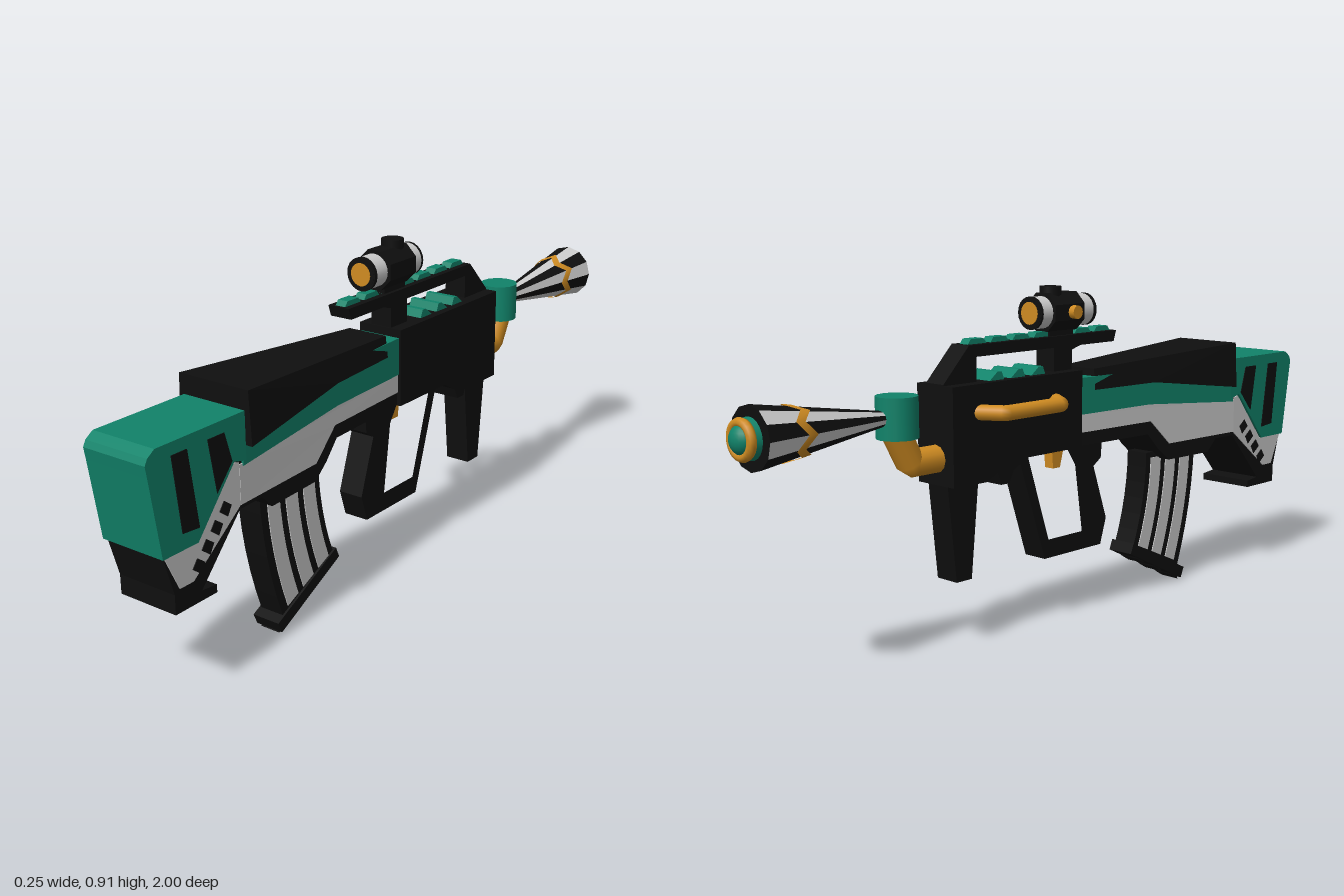
import * as THREE from 'three';

const CX = 0.013; // centre plane of the body
const mat = (name, color) => {
  const m = new THREE.MeshStandardMaterial({ color });
  m.name = name;
  return m;
};

export function createModel() {
  const black = mat('black', 0x0f0f0f);
  const teal = mat('teal', 0x11836a);
  const white = mat('white', 0xcccccc);
  const orange = mat('orange', 0xd08c22);
  const model = new THREE.Group();

  const add = (name, geo, material, x = CX, y = 0, z = 0) => {
    const m = new THREE.Mesh(geo, material);
    m.name = name;
    m.position.set(x, y, z);
    model.add(m);
    return m;
  };
  // side outline of [z, y] points, extruded across x; half width may vary with z and y
  const slab = (name, pts, half, material, hole) => {
    const shape = new THREE.Shape(pts.map(p => new THREE.Vector2(p[0], p[1])));
    if (hole) shape.holes.push(new THREE.Path(hole.map(p => new THREE.Vector2(p[0], p[1]))));
    const g = new THREE.ExtrudeGeometry(shape, { depth: 2, bevelEnabled: false, curveSegments: 1 });
    g.translate(0, 0, -1).rotateY(-Math.PI / 2);
    const p = g.attributes.position;
    for (let i = 0; i < p.count; i++) {
      const h = typeof half === 'number' ? half : half(p.getZ(i), p.getY(i));
      p.setX(i, Math.sign(p.getX(i)) * h);
    }
    g.computeVertexNormals();
    return add(name, g, material);
  };
  const plates = (name, pts, half, material) => {
    for (const s of [-1, 1]) {
      const m = slab(name, pts, 0.002, material);
      m.position.x = CX + s * half;
    }
  };
  // cylinder along z (first radius at the -z end)
  const barrel = (name, rFar, rNear, z0, z1, y, sides, material, turn = 0) => {
    const g = new THREE.CylinderGeometry(rFar, rNear, z0 - z1, sides).rotateY(turn).rotateX(-Math.PI / 2);
    const flat = sides <= 8 ? g.toNonIndexed() : g;
    if (sides <= 8) flat.computeVertexNormals();
    return add(name, flat, material, CX, y, (z0 + z1) / 2);
  };
  const body = (z, extra = 0) => 0.06 + 0.0325 * THREE.MathUtils.clamp((z - 0.05) / 0.65, 0, 1) + extra;

  // stock
  slab('stock', [[0.995, 0.6], [1, 0.63], [0.992, 0.645], [0.97, 0.66], [0.69, 0.66], [0.69, 0.54],
    [0.73, 0.55], [0.855, 0.4], [0.965, 0.4]], 0.0925, teal);
  slab('stockStrip', [[0.7, 0.66], [0.05, 0.66], [0.05, 0.56], [0.33, 0.56], [0.7, 0.53]], z => body(z), teal);
  plates('stockSlot', [[0.925, 0.63], [0.877, 0.63], [0.85, 0.435], [0.903, 0.44]], 0.0925, black);
  plates('stockSlot', [[0.813, 0.63], [0.76, 0.63], [0.738, 0.555], [0.79, 0.495]], 0.0925, black);
  slab('cover', [[0.69, 0.71], [0.11, 0.68], [0.11, 0.623], [0.34, 0.623], [0.69, 0.577]],
    (z, y) => 0.065 + 0.047 * (z - 0.11) / 0.58 - (y > 0.65 ? 0.007 : 0), black);

  // lower body, butt and white side bands
  slab('lowerBody', [[0.05, 0.58], [0.05, 0.473], [0.33, 0.473], [0.375, 0.425], [0.422, 0.388], [0.594, 0.388],
    [0.63, 0.425], [0.71, 0.425], [0.71, 0.56], [0.35, 0.58]], z => body(z, -0.006), black);
  slab('butt', [[0.71, 0.55], [0.71, 0.425], [0.845, 0.275], [0.797, 0.27], [0.797, 0.25], [0.93, 0.25],
    [0.93, 0.3], [0.96, 0.405], [0.86, 0.41]], 0.0855, black);
  slab('sideBand', [[0.05, 0.56], [0.05, 0.51], [0.34, 0.51], [0.42, 0.436], [0.71, 0.436],
    [0.71, 0.535], [0.325, 0.56]], z => body(z, -0.003), white);
  slab('buttBand', [[0.71, 0.54], [0.71, 0.436], [0.872, 0.31], [0.915, 0.31], [0.957, 0.4], [0.85, 0.4],
    [0.73, 0.545]], 0.0885, white);
  for (let i = 0; i < 4; i++) {
    const z = 0.762 + i * 0.031, y = 0.443 - i * 0.035;
    plates('buttStud', [[z - 0.02, y + 0.006], [z + 0.004, y + 0.024], [z + 0.02, y + 0.002], [z - 0.006, y - 0.018]],
      0.0885, black);
  }

  // curved magazine, u runs rear to front and t runs downward
  const bend = (a, b, c, t) => (1 - t) ** 2 * a + 2 * t * (1 - t) * b + t * t * c;
  const mag = (u, t) => [
    THREE.MathUtils.lerp(bend(0.588, 0.582, 0.515, t), bend(0.364, 0.364, 0.31, t), u),
    THREE.MathUtils.lerp(bend(0.41, 0.23, 0.045, t), bend(0.41, 0.28, 0.14, t), u)];
  const magStrip = (u0, u1, t0, t1) => {
    const a = [], b = [];
    for (let i = 0; i <= 6; i++) {
      const t = t0 + (t1 - t0) * i / 6;
      a.push(mag(u0, t));
      b.unshift(mag(u1, t));
    }
    return a.concat(b);
  };
  slab('magazine', magStrip(0, 1, 0, 1), 0.035, black);
  for (let i = 0; i < 3; i++) {
    const u = 0.11 + i * 0.3;
    plates('magazineStripe', magStrip(u, u + 0.2, 0.06, 0.97), 0.0355, white);
  }
  slab('magazineBase', [[0.54, 0.036], [0.305, 0.152], [0.293, 0.123], [0.527, 0.006]], 0.041, black);
  for (const z of [0.5, 0.42, 0.34]) {
    const y = 0.006 + (0.527 - z) * 0.5;
    slab('magazineNub', [[z + 0.018, y], [z - 0.014, y + 0.016], [z - 0.007, y], [z + 0.025, y - 0.019]], 0.03, black);
  }

  // receiver with its carrying rail
  slab('receiver', [[0.055, 0.682], [-0.412, 0.682], [-0.412, 0.43], [-0.3, 0.43], [-0.262, 0.446], [-0.25, 0.415],
    [-0.22, 0.415], [-0.205, 0.446], [-0.155, 0.473], [0.055, 0.473]], 0.066, black);
  slab('rail', [[0.23, 0.775], [-0.325, 0.775], [-0.412, 0.685], [-0.412, 0.66], [-0.3, 0.66], [-0.3, 0.745],
    [-0.02, 0.745], [-0.02, 0.67], [0.05, 0.67], [0.05, 0.735], [0.085, 0.745], [0.22, 0.745]], 0.032, black);
  const tooth = (z, y) => slab('railTooth', [[z + 0.033, y], [z + 0.022, y + 0.014], [z - 0.022, y + 0.014],
    [z - 0.033, y]], 0.015, teal);
  for (let i = 0; i < 7; i++) tooth(0.19 - i * 0.0785, 0.774);
  for (let i = 0; i < 3; i++) {
    const z = -0.065 - i * 0.075;
    slab('receiverTooth', [[z, 0.68], [z - 0.01, 0.703], [z - 0.025, 0.703], [z - 0.055, 0.68]], 0.045, teal);
  }

  // grips and trigger
  slab('gripLoop', [[0.17, 0.48], [0.165, 0.425], [0.135, 0.405], [0.188, 0.25], [0.165, 0.177], [-0.06, 0.177],
    [-0.16, 0.48]], 0.036, black,
    [[0.03, 0.465], [0.06, 0.42], [0.088, 0.228], [-0.045, 0.228], [-0.122, 0.465]]);
  slab('frontGrip', [[-0.3, 0.45], [-0.328, 0.177], [-0.38, 0.177], [-0.408, 0.45]], 0.036, black);
  slab('trigger', [[0.04, 0.48], [0.022, 0.415], [-0.005, 0.415], [-0.01, 0.48]], 0.015, orange);

  // scope
  const sy = 0.838, oct = Math.PI / 8;
  barrel('scopeTube', 0.04, 0.04, 0.137, -0.078, sy, 20, black);
  barrel('scopeTurret', 0.055, 0.055, 0.08, -0.033, sy, 8, black, oct);
  for (const [a, b] of [[0.125, 0.08], [-0.033, -0.07]]) barrel('scopeRing', 0.043, 0.043, a, b, sy, 20, white);
  for (const [a, b] of [[0.136, 0.125], [-0.07, -0.077]]) barrel('scopeRim', 0.044, 0.044, a, b, sy, 20, black);
  for (const z of [0.137, -0.078]) barrel('scopeLens', 0.03, 0.03, z + 0.002, z - 0.002, sy, 20, orange);
  add('scopeTopKnob', new THREE.CylinderGeometry(0.03, 0.03, 0.04, 12), black, CX, 0.886, 0);
  add('scopeSideKnob', new THREE.CylinderGeometry(0.018, 0.018, 0.04, 12).rotateZ(Math.PI / 2), orange, -0.036, sy, 0.035);
  add('scopeMount', new THREE.BoxGeometry(0.044, 0.035, 0.09), black, CX, 0.783, 0.02);

  // side handle
  const tube = (name, pts, r, material) => {
    const path = new THREE.CurvePath();
    const v = pts.map(p => new THREE.Vector3(...p));
    for (let i = 1; i < v.length; i++) path.add(new THREE.LineCurve3(v[i - 1], v[i]));
    add(name, new THREE.TubeGeometry(path, 40, r, 12), material, 0);
  };
  tube('sideHandle', [[-0.04, 0.61, -0.04], [-0.107, 0.61, -0.085], [-0.107, 0.61, -0.285], [-0.04, 0.61, -0.325]],
    0.02, orange);

  // elbow pipe and collar
  tube('elbowPipe', [[CX, 0.497, -0.39], [CX, 0.497, -0.495], [CX, 0.595, -0.548]], 0.036, orange);
  add('collar', new THREE.CylinderGeometry(0.053, 0.053, 0.104, 16), teal, CX, 0.617, -0.534);

  // flared nozzle with alternating facets
  const ny = 0.617, sides = 12, zNear = -0.57, zFar = -0.952, rNear = 0.018, rFar = 0.077;
  const cone = new THREE.CylinderGeometry(rFar, rNear, zNear - zFar, sides, 1, true).rotateX(-Math.PI / 2);
  cone.clearGroups();
  for (let i = 0; i < sides; i++) cone.addGroup(i * 6, 6, i % 2);
  const facets = cone.toNonIndexed();
  facets.computeVertexNormals();
  add('nozzle', facets, [white, black], CX, ny, (zNear + zFar) / 2);
  add('nozzleEnd', new THREE.CircleGeometry(rFar, sides).rotateY(Math.PI), black, CX, ny, zFar);

  // zigzag band hugging the nozzle
  const pos = [], idx = [];
  for (let i = 0; i <= sides; i++) {
    const a = i / sides * Math.PI * 2;
    for (const off of [0.014, -0.014]) {
      const z = -0.84 + off + (i % 2 ? 0.016 : -0.016);
      const r = 0.004 + rNear + (rFar - rNear) * (z - zNear) / (zFar - zNear);
      pos.push(Math.sin(a) * r, Math.cos(a) * r, z);
    }
    if (i) idx.push(2 * i - 2, 2 * i - 1, 2 * i, 2 * i, 2 * i - 1, 2 * i + 1);
  }
  const band = new THREE.BufferGeometry();
  band.setAttribute('position', new THREE.Float32BufferAttribute(pos, 3));
  band.setIndex(idx);
  band.computeVertexNormals();
  const bandMat = orange;
  bandMat.side = THREE.DoubleSide;
  add('nozzleBand', band, bandMat, CX, ny);

  // nozzle tip
  barrel('tipBase', 0.046, 0.05, -0.95, -0.972, ny, 20, teal);
  add('tipRing', new THREE.TorusGeometry(0.039, 0.012, 8, 24), orange, CX, ny, -0.974);
  add('tipDome', new THREE.SphereGeometry(0.036, 20, 12).scale(1, 1, 0.8), teal, CX, ny, -0.971);

  return model;
}
